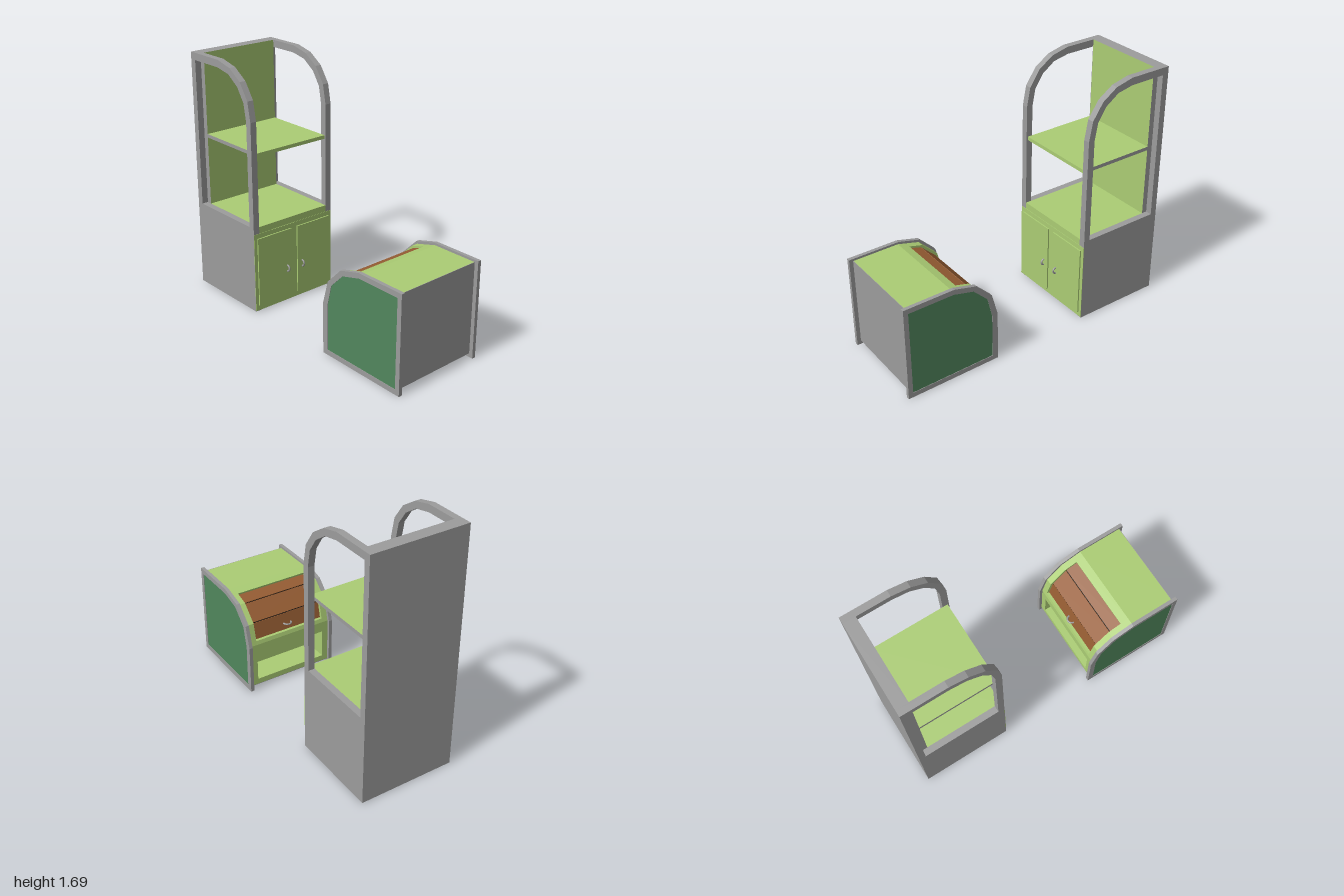
import * as THREE from 'three';

const mat = (color) => new THREE.MeshStandardMaterial({ color, flatShading: true });

export function createModel() {
  const grey = mat(0x9c9c9c), green = mat(0xabcd74), darkGreen = mat(0x51875d);
  const brown = mat(0x965d33), black = mat(0x0c0c0c);
  const model = new THREE.Group();

  const add = (parent, name, geometry, material) => {
    const mesh = new THREE.Mesh(geometry, material);
    mesh.name = name;
    parent.add(mesh);
    return mesh;
  };
  const group = (name) => {
    const g = new THREE.Group();
    g.name = name;
    model.add(g);
    return g;
  };
  // box given by its x, y and z ranges
  const box = (parent, name, [x0, x1], [y0, y1], [z0, z1], material) => {
    const g = new THREE.BoxGeometry(x1 - x0, y1 - y0, z1 - z0);
    g.translate((x0 + x1) / 2, (y0 + y1) / 2, (z0 + z1) / 2);
    return add(parent, name, g, material);
  };
  // (z, y) outline extruded across x
  const slab = (parent, name, outline, [x0, x1], material, hole) => {
    const toPoints = (list) => list.map(([z, y]) => new THREE.Vector2(z, y));
    const shape = new THREE.Shape(toPoints(outline));
    if (hole) shape.holes.push(new THREE.Path(toPoints(hole)));
    const g = new THREE.ExtrudeGeometry(shape, { depth: x1 - x0, bevelEnabled: false });
    g.rotateY(-Math.PI / 2).translate(x1, 0, 0);
    return add(parent, name, g, material);
  };
  const mirrored = (s, a, b) => (s > 0 ? [a, b] : [-b, -a]);
  const handleArc = (r) => new THREE.TorusGeometry(r, 0.006, 8, 14, Math.PI);
  // box faces: +x, -x, top, bottom, front, back
  const greenTopFront = [grey, grey, green, grey, green, grey];

  // ---- tall shelf cabinet ----
  const cabinet = group('tallCabinet');
  const sideOutline = [[-0.365, 0.004], [-0.365, 1.342], [-0.39, 1.476], [-0.465, 1.586],
    [-0.57, 1.656], [-0.695, 1.686], [-1, 1.686], [-1, 0.004]];
  const sideOpening = [[-0.41, 0.616], [-0.41, 1.336], [-0.432, 1.456], [-0.493, 1.549],
    [-0.585, 1.613], [-0.7, 1.636], [-0.955, 1.636], [-0.955, 0.616]];
  for (const s of [1, -1]) {
    slab(cabinet, 'sideFrame', sideOutline, mirrored(s, 0.29, 0.335), grey, sideOpening);
    box(cabinet, 'door', mirrored(s, 0.025, 0.31), [0.04, 0.537], [-0.364, -0.354], green);
    const handle = add(cabinet, 'doorHandle', handleArc(0.022), grey);
    handle.geometry.rotateZ(-Math.PI / 2).rotateY(-Math.PI / 2);
    handle.position.set(s * 0.065, 0.25, -0.355);
  }
  box(cabinet, 'backPanel', [-0.29, 0.29], [0.004, 1.686], [-1, -0.917],
    [grey, grey, grey, grey, green, grey]);
  box(cabinet, 'base', [-0.29, 0.29], [0.004, 0.616], [-0.917, -0.367], greenTopFront);
  box(cabinet, 'frontPlate', [-0.335, 0.335], [0.008, 0.57], [-0.366, -0.363], green);
  box(cabinet, 'shelf', [-0.29, 0.29], [1.1, 1.125], [-0.917, -0.375], greenTopFront);

  // ---- low bin with a roll door, facing the cabinet ----
  const bin = group('rollDoorBin');
  const outer = [[1, 0], [1, 0.67], [0.645, 0.67], [0.488, 0.628], [0.373, 0.512],
    [0.33, 0.355], [0.33, 0]];
  const inner = [[0.967, 0.035], [0.967, 0.635], [0.65, 0.635], [0.507, 0.597],
    [0.405, 0.495], [0.37, 0.35], [0.37, 0.035]];
  const body = [[0.97, 0.03], [0.97, 0.655], [0.65, 0.655], [0.497, 0.613], [0.387, 0.505],
    [0.35, 0.352], [0.35, 0.03]];
  for (const s of [1, -1]) {
    slab(bin, 'endFrame', outer, mirrored(s, 0.31, 0.335), grey, inner);
    slab(bin, 'endPanel', inner, mirrored(s, 0.312, 0.332), darkGreen);
    slab(bin, 'bodySide', body, mirrored(s, 0.265, 0.31), green);
  }
  // middle of the body, with the door recess and the open cubby cut in
  const middle = [[0.97, 0.03], [0.97, 0.655], [0.65, 0.655], [0.592, 0.639], [0.596, 0.619],
    [0.513, 0.595], [0.411, 0.495], [0.384, 0.38], [0.357, 0.38], [0.35, 0.352],
    [0.35, 0.275], [0.53, 0.275], [0.53, 0.07], [0.35, 0.07], [0.35, 0.03]];
  slab(bin, 'bodyMiddle', middle, [-0.265, 0.265], green);
  box(bin, 'backPlate', [-0.31, 0.31], [0.03, 0.655], [0.97, 0.973], grey);
  box(bin, 'bottomPlate', [-0.31, 0.31], [0.027, 0.03], [0.35, 0.973], grey);

  // roll door: dark backing with one slat on each facet
  const track = middle.slice(4, 8);
  for (let i = 0; i < 3; i++) {
    const [z0, y0] = track[i], [z1, y1] = track[i + 1];
    const length = Math.hypot(z1 - z0, y1 - y0);
    const facet = new THREE.Group();
    facet.name = 'doorFacet';
    facet.position.set(0, (y0 + y1) / 2, (z0 + z1) / 2);
    facet.rotation.x = Math.atan2(y1 - y0, z0 - z1);
    box(facet, 'doorBacking', [-0.264, 0.264], [-0.004, 0.003], [-length / 2, length / 2], black);
    box(facet, 'doorSlat', [-0.264, 0.264], [0, 0.008],
      [-length / 2 + (i < 2 ? 0.0015 : 0), length / 2 - (i > 0 ? 0.0015 : 0)], brown);
    bin.add(facet);
  }
  const pull = add(bin, 'doorPull', handleArc(0.028), grey);
  pull.geometry.rotateX(-Math.PI / 2);
  pull.position.set(0, 0.425, 0.387);

  return model;
}
